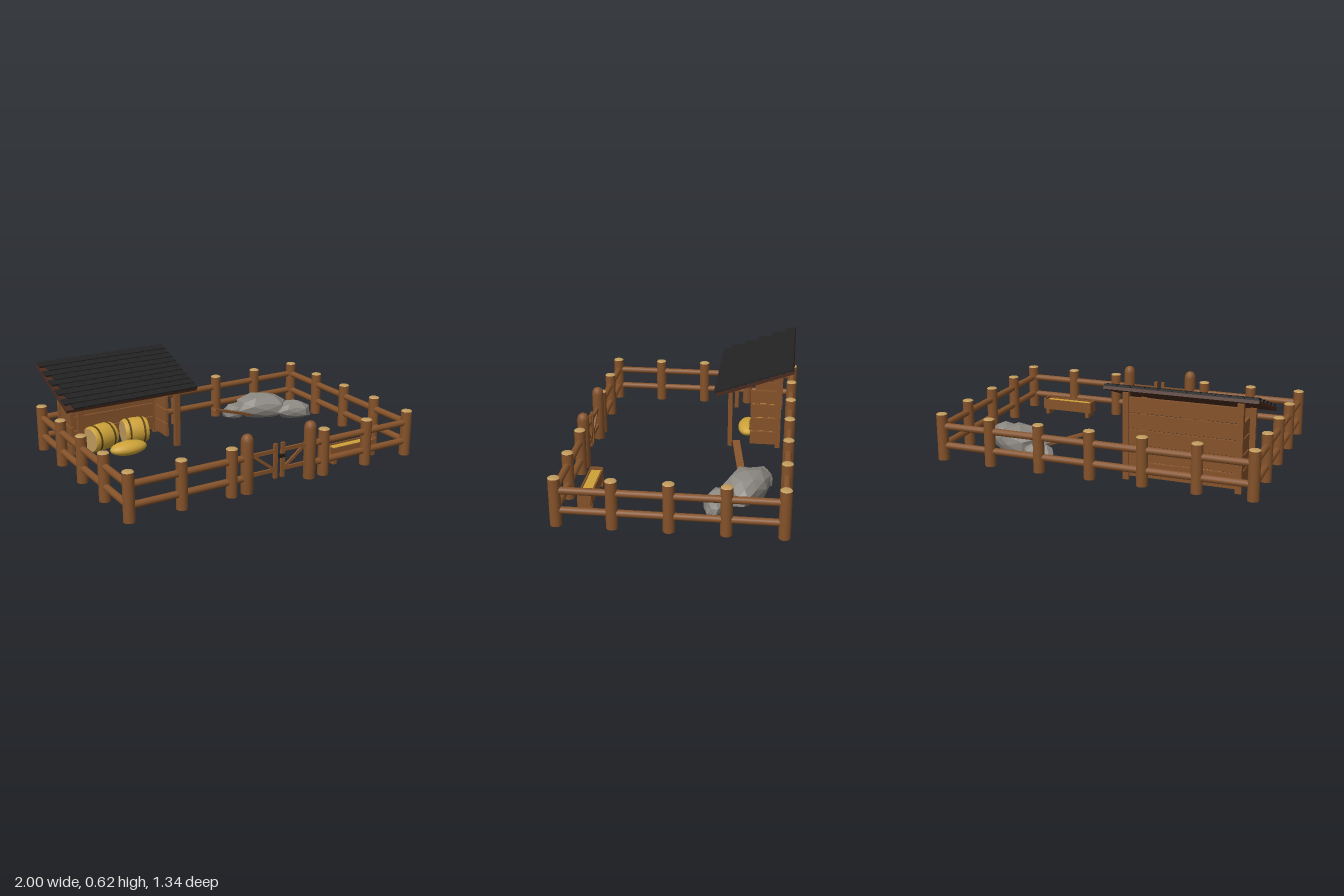
import * as THREE from 'three';

const mat = (name, color, extra = {}) => {
  const m = new THREE.MeshStandardMaterial({ color, ...extra });
  m.name = name;
  return m;
};

export function createModel() {
  const wood = mat('wood', 0x84522a);
  const cutWood = mat('cut wood', 0xbf9a5c);
  const roofWood = mat('dark roof wood', 0x4a2a1e);
  const slate = mat('black shingle', 0x232323);
  const stone = mat('stone', 0x8a8680, { flatShading: true });
  const hay = mat('hay', 0xcda238);
  const strap = mat('hay strap', 0x5c4214);
  const iron = mat('iron', 0x1c1c1e);

  const model = new THREE.Group();
  model.name = 'paddock';
  const group = (name, parent = model) => {
    const g = new THREE.Group();
    g.name = name;
    parent.add(g);
    return g;
  };
  const add = (parent, name, geo, material, x = 0, y = 0, z = 0) => {
    const m = new THREE.Mesh(geo, material);
    m.name = name;
    m.position.set(x, y, z);
    parent.add(m);
    return m;
  };
  const box = (parent, name, material, w, h, d, x, y, z) =>
    add(parent, name, new THREE.BoxGeometry(w, h, d), material, x, y, z);
  const lathe = (pts) => new THREE.LatheGeometry(pts.map(p => new THREE.Vector2(...p)), 20);

  // Fence posts with pale cut tops
  const X = 0.966, Z = 0.633, base = 0.04;
  const fence = group('fence');
  const postGeo = new THREE.CylinderGeometry(0.034, 0.034, 0.288, 20);
  const capGeo = lathe([[0.034, 0], [0.029, 0.005], [0.016, 0.008], [0, 0.009]]);
  const post = (x, z) => {
    add(fence, 'fencePost', postGeo, wood, x, base + 0.144, z);
    add(fence, 'postTop', capGeo, cutWood, x, base + 0.288, z);
  };
  for (let i = -3; i <= 3; i++) {
    post(i * X / 3, -Z);
    if (i !== 0) post(i * X / 3, Z);
  }
  for (const s of [-1, 1]) for (const k of [-0.5, 0, 0.5]) post(s * X, k * Z);

  // Two round rails along every side, open at the gate
  const rail = (x0, z0, x1, z1, y) => {
    const len = Math.hypot(x1 - x0, z1 - z0);
    const m = add(fence, 'fenceRail', new THREE.CylinderGeometry(0.021, 0.021, len, 14), wood,
      (x0 + x1) / 2, y, (z0 + z1) / 2);
    if (z0 === z1) m.rotation.z = Math.PI / 2;
    else m.rotation.x = Math.PI / 2;
  };
  for (const y of [0.132, 0.254]) {
    rail(-X, -Z, X, -Z, y);
    for (const s of [-1, 1]) {
      rail(s * X, -Z, s * X, Z, y);
      rail(s * 0.22, Z, s * X, Z, y);
    }
  }

  // Double gate with taller domed posts
  const gate = group('gate');
  const gatePostGeo = lathe([[0, 0], [0.037, 0], [0.037, 0.315], [0.034, 0.334], [0.025, 0.35], [0.012, 0.357], [0, 0.359]]);
  for (const s of [-1, 1]) {
    add(gate, 'gatePost', gatePostGeo, wood, s * 0.22, base, Z);
    box(gate, 'gateStile', wood, 0.022, 0.215, 0.018, s * 0.025, 0.195, Z);
    for (const y of [0.14, 0.258]) box(gate, 'gateRail', wood, 0.17, 0.022, 0.014, s * 0.105, y, Z);
    const brace = box(gate, 'gateBrace', wood, 0.18, 0.018, 0.012, s * 0.105, 0.198, Z);
    brace.rotation.z = s * Math.atan2(0.115, 0.15);
  }
  box(gate, 'gateLatch', iron, 0.04, 0.018, 0.02, 0.01, 0.225, Z + 0.012);

  // Shelter frame and plank walls
  const shed = group('shelter');
  const left = -0.2, right = -0.865, mid = (left + right) / 2;
  for (const x of [right, left]) {
    box(shed, 'frontPillar', wood, 0.036, 0.41, 0.028, x, 0.245, -0.246);
    box(shed, 'rearPillar', wood, 0.036, 0.52, 0.032, x, 0.3, -0.558);
    for (let i = 0; i < 4; i++) {
      box(shed, 'sidePlank', wood, 0.018, 0.086, 0.17, x, 0.103 + i * 0.0955, -0.462);
    }
  }
  for (let i = 0; i < 5; i++) {
    box(shed, 'rearPlank', wood, left - right, 0.088, 0.018, mid, 0.107 + i * 0.0955, -0.556);
  }

  // Sloping roof with staggered shingles
  const roof = group('roof', shed);
  const roofW = 0.885, roofL = 0.512, rows = 10, cols = 11;
  roof.position.set(-0.538, 0.515, -0.404);
  roof.rotation.x = 0.342;
  box(roof, 'roofBoard', roofWood, roofW, 0.02, roofL, 0, 0, 0);
  const pitch = roofL / rows, tileW = roofW / cols;
  for (let r = 0; r < rows; r++) {
    const odd = r % 2;
    for (let c = 0; c < cols; c++) {
      const x0 = -roofW / 2 + (c + odd / 2) * tileW;
      const x1 = Math.min(x0 + tileW, roofW / 2);
      const tile = box(roof, 'shingle', slate, x1 - x0 - 0.005, 0.012, pitch + 0.012,
        (x0 + x1) / 2, 0.018, -roofL / 2 + (r + 0.5) * pitch + 0.004);
      tile.rotation.x = -0.13;
    }
  }

  // Round hay bales with straps, and a loose heap
  const bales = group('hayBales');
  const bale = (x, z, yaw, len) => {
    const g = group('hayBale', bales);
    g.position.set(x, 0.117, z);
    g.rotation.set(0, yaw, Math.PI / 2, 'YXZ');
    const r = 0.085, h = len / 2;
    add(g, 'baleBody', lathe([[r * 0.9, -h], [r, -h + 0.015], [r * 1.03, 0], [r, h - 0.015], [r * 0.9, h]]), hay);
    for (const s of [-1, 1]) {
      const end = add(g, 'baleEnd', new THREE.CircleGeometry(r * 0.9, 20), cutWood, 0, s * h, 0);
      end.rotation.x = -s * Math.PI / 2;
      add(g, 'baleStrap', new THREE.CylinderGeometry(r * 1.05, r * 1.05, 0.012, 20), strap, 0, s * len * 0.3, 0);
    }
  };
  bale(-0.645, -0.455, 0.25, 0.18);
  bale(-0.405, -0.455, -0.12, 0.16);
  const heap = add(bales, 'hayHeap', new THREE.SphereGeometry(1, 24, 16), hay, -0.5, 0.048, -0.35);
  heap.scale.set(0.127, 0.046, 0.068);

  // Feeding trough filled with hay
  const trough = group('trough');
  trough.position.set(0.629, 0, 0.507);
  box(trough, 'troughFloor', wood, 0.34, 0.012, 0.07, 0, 0.08, 0);
  box(trough, 'troughHay', hay, 0.335, 0.05, 0.062, 0, 0.111, 0);
  for (const s of [-1, 1]) {
    box(trough, 'troughSide', wood, 0.35, 0.07, 0.01, 0, 0.11, s * 0.036);
    box(trough, 'troughEnd', wood, 0.014, 0.078, 0.076, s * 0.174, 0.112, 0);
    box(trough, 'troughFoot', wood, 0.026, 0.034, 0.088, s * 0.15, 0.058, 0);
  }

  // Faceted boulders
  const rocks = group('rocks');
  const rock = (seed, x, y, z, sx, sy, sz, yaw) => {
    const geo = new THREE.IcosahedronGeometry(1, 1);
    const p = geo.attributes.position, v = new THREE.Vector3();
    for (let i = 0; i < p.count; i++) {
      v.fromBufferAttribute(p, i);
      const n = Math.sin(Math.round(v.x * 50) * 1.7 + Math.round(v.y * 50) * 2.3 + Math.round(v.z * 50) * 3.1 + seed);
      v.multiplyScalar(0.98 + 0.14 * n);
      v.y = Math.max(v.y, -0.75);
      p.setXYZ(i, v.x, v.y, v.z);
    }
    geo.computeVertexNormals();
    const m = add(rocks, 'boulder', geo, stone, x, y, z);
    m.scale.set(sx, sy, sz);
    m.rotation.y = yaw;
  };
  rock(1, 0.56, 0.137, -0.4, 0.2, 0.096, 0.125, -0.25);
  rock(4, 0.395, 0.105, -0.49, 0.095, 0.06, 0.062, 0);
  rock(7, 0.73, 0.12, -0.255, 0.13, 0.07, 0.075, -0.3);

  // Loose board leaning on the boulders
  const board = box(model, 'leaningBoard', wood, 0.36, 0.014, 0.045, 0.28, 0.157, -0.34);
  board.rotation.set(0, 0.2, -0.32, 'YXZ');

  return model;
}
